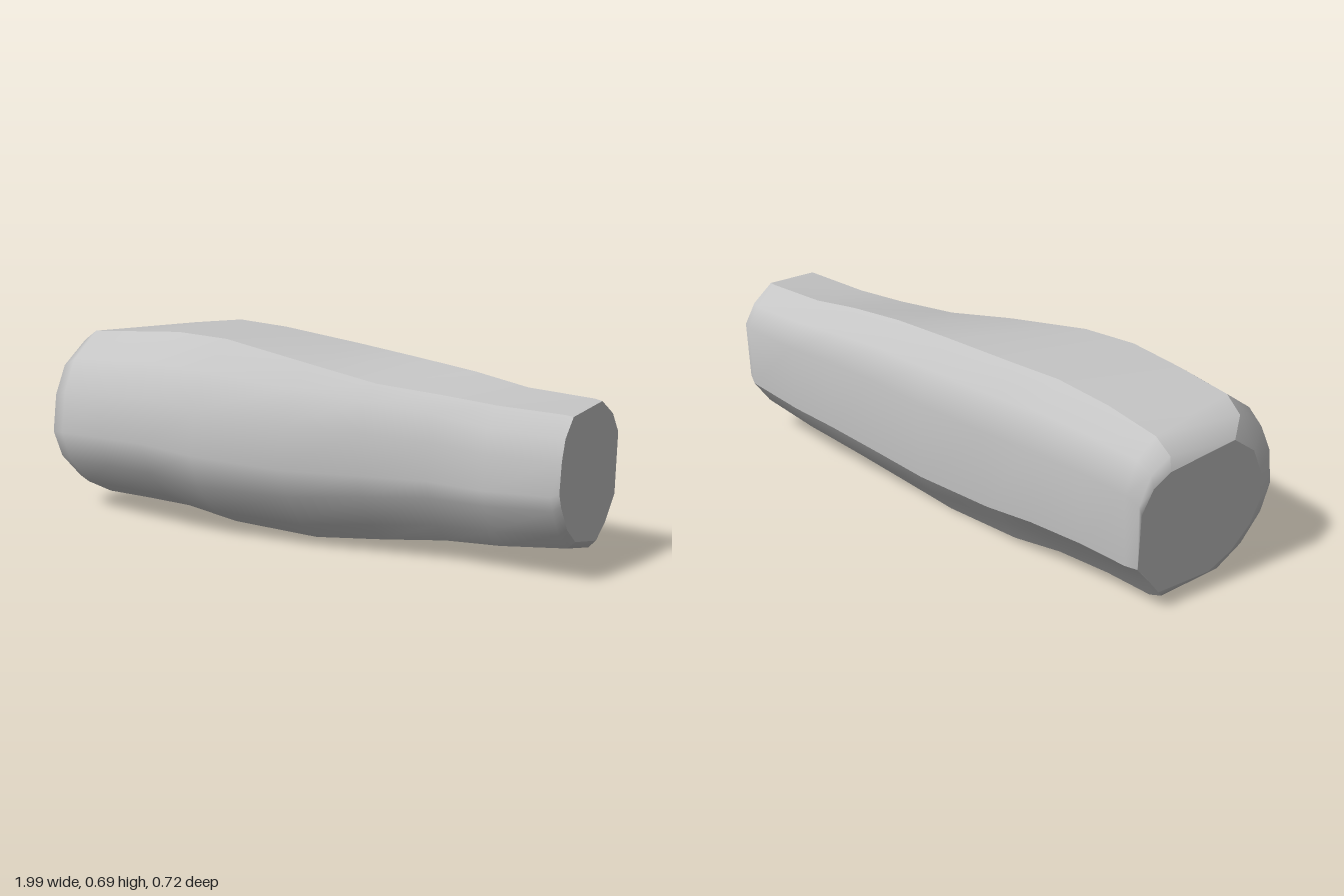
import * as THREE from 'three';

// Normalised cross-sections (z, y), starting at the top front corner and going down the front
const BODY = [[.694, 1], [.875, .86], [.96, .68], [1, .44], [.945, .265], [.81, .10], [.635, 0],
  [.22, 0], [.12, .14], [.025, .26], [0, .68], [.07, .85], [.194, .985]];
const TIP = [[.80, .97], [.926, .84], [.975, .69], [1, .47], [.963, .37], [.85, .19], [.70, .07],
  [.333, 0], [.185, .10], [.025, .28], [0, .73], [.11, .88], [.31, 1]];
const N = BODY.length;

// Stations along the length: x, zMin, zMax, yMin, yMax, slant, dip of the top front edge, dip of the top back edge
const STATIONS = [
  [-.955, -.31, .20, .07, .55, 1, 0, .05],
  [-.93, -.32, .29, .055, .605, .5, 0, .06],
  [-.87, -.33, .32, .04, .648, .25, 0, .045],
  [-.68, -.34, .345, .048, .67, 0, 0, .015],
  [-.48, -.36, .36, .05, .69, 0, 0, 0],
  [-.28, -.357, .34, .022, .685, 0, 0, 0],
  [.05, -.34, .27, 0, .662, 0, .035, 0],
  [.3, -.325, .19, .01, .64, 0, .06, 0],
  [.53, -.32, .13, .03, .615, 0, .04, 0],
  [.73, -.315, .11, .045, .585, 0, .01, 0],
  [.97, -.315, .10, .08, .578, 0, 0, 0],
  [1, -.305, .10, .11, .575, 0, 0, 0],
];

function ring([x, z0, z1, y0, y1, slant, frontDip, backDip]) {
  const t = THREE.MathUtils.smoothstep(x, -.3, .65);
  return BODY.map(([u, v], j) => {
    const z = z0 + (z1 - z0) * THREE.MathUtils.lerp(u, TIP[j][0], t);
    const dip = j === 0 ? frontDip : j === N - 1 ? backDip : 0;
    const y = y0 + (y1 - y0) * (THREE.MathUtils.lerp(v, TIP[j][1], t) - dip);
    return [Math.max(-1, x + slant * (.1 * (.35 - y) - .15 * z)), y, z];
  });
}

function surface(points, index) {
  const g = new THREE.BufferGeometry();
  g.setAttribute('position', new THREE.Float32BufferAttribute(points.flat(), 3));
  g.setIndex(index);
  g.computeVertexNormals();
  return g;
}

// Lengthwise strip between two crease lines, smooth inside
function panel(rings, from, to) {
  const w = to - from + 1, points = [], index = [];
  rings.forEach((r, i) => {
    for (let j = 0; j < w; j++) {
      points.push(r[(from + j) % N]);
      if (i === rings.length - 1 || j === w - 1) continue;
      const a = i * w + j, c = a + w;
      index.push(a, a + 1, c, a + 1, c + 1, c);
    }
  });
  return surface(points, index);
}

// Flat end face
function cap(r, flip) {
  const index = [];
  for (let j = 1; j < N - 1; j++) index.push(0, flip ? j + 1 : j, flip ? j : j + 1);
  return surface(r, index);
}

export function createModel() {
  const group = new THREE.Group();
  group.name = 'taperedHandle';
  const grey = new THREE.MeshStandardMaterial({ color: 0xc4c4c4 });
  grey.name = 'light grey';
  const add = (name, geometry) => {
    const mesh = new THREE.Mesh(geometry, grey);
    mesh.name = name;
    group.add(mesh);
  };
  const rings = STATIONS.map(ring);

  // Side panels separated by the sharp lengthwise edges
  const panels = { frontPanel: [0, 6], bottomPanel: [6, 7], lowerBackPanel: [7, 9], backPanel: [9, 12], topPanel: [12, 13] };
  for (const [name, [from, to]] of Object.entries(panels)) add(name, panel(rings, from, to));

  // End faces
  add('wideEnd', cap(rings[0], true));
  add('narrowEnd', cap(rings[rings.length - 1], false));
  return group;
}
